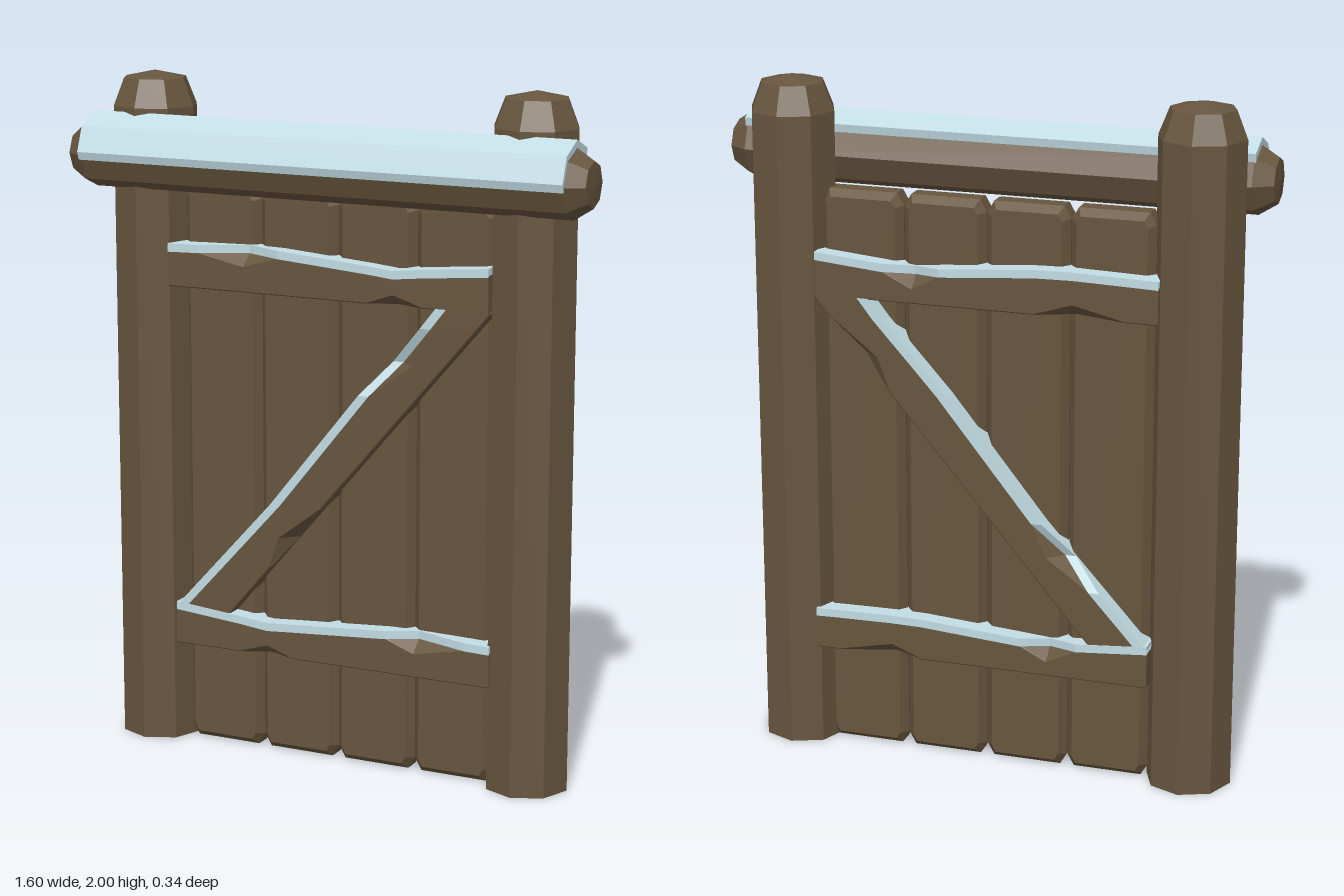
import * as THREE from 'three';

const wood = new THREE.MeshStandardMaterial({ color: 0x67553e });
wood.name = 'wood';
const snow = new THREE.MeshStandardMaterial({ color: 0xc2dce4 });
snow.name = 'snow';

const MID_Z = -0.045;

// Mesh with hard facets
function faceted(name, geometry, material) {
  const g = geometry.index ? geometry.toNonIndexed() : geometry;
  g.computeVertexNormals();
  const mesh = new THREE.Mesh(g, material);
  mesh.name = name;
  return mesh;
}

// Closed solid through equal-length cross-sections
function loft(sections) {
  const n = sections[0].length;
  const pos = sections.flat(2);
  const idx = [];
  for (let i = 0; i < sections.length - 1; i++) {
    for (let j = 0; j < n; j++) {
      const a = i * n + j, b = i * n + (j + 1) % n;
      idx.push(a, b, b + n, a, b + n, a + n);
    }
  }
  const last = (sections.length - 1) * n;
  for (let j = 1; j < n - 1; j++) {
    idx.push(0, j + 1, j, last, last + j, last + j + 1);
  }
  const g = new THREE.BufferGeometry();
  g.setAttribute('position', new THREE.Float32BufferAttribute(pos, 3));
  g.setIndex(idx);
  return g;
}

function lathe(points) {
  return new THREE.LatheGeometry(points.map(([r, y]) => new THREE.Vector2(r, y)), 8);
}

// Chipped board with a snow strip on its upper edge.
// Station: [u, top, chip frontTop, frontBottom, backTop, backBottom]
function brace(name, stations, map) {
  const zf = MID_Z + 0.1, zb = MID_Z - 0.1;
  const cz = c => 0.003 + 0.045 * c, cv = c => 0.003 + 0.035 * c;
  const at = (u, v, z) => [...map(u, v), z];
  const group = new THREE.Group();
  group.name = name;
  group.add(faceted('board', loft(stations.map(([u, t, ft, fb, bt, bb]) => [
    at(u, t, zb + cz(bt)), at(u, t, zf - cz(ft)),
    at(u, t - cv(ft), zf), at(u, cv(fb), zf),
    at(u, 0, zf - cz(fb)), at(u, 0, zb + cz(bb)),
    at(u, cv(bb), zb), at(u, t - cv(bt), zb),
  ])), wood));
  group.add(faceted('boardSnow', loft(stations.map(([u, t, ft, , bt]) => {
    const f = zf - 0.045 * ft + 0.002, b = zb + 0.045 * bt - 0.002;
    return [at(u, t + 0.02, b), at(u, t + 0.02, f), at(u, t - 0.004, f), at(u, t - 0.004, b)];
  })), snow));
  return group;
}

export function createModel() {
  const model = new THREE.Group();
  model.name = 'gate';

  // Posts with rounded tops
  for (const [name, x] of [['rightPost', -0.605], ['leftPost', 0.585]]) {
    const post = faceted(name, lathe([
      [0, 0], [0.125, 0], [0.125, 1.9], [0.093, 1.98], [0, 2],
    ]), wood);
    post.position.set(x, 0, MID_Z);
    model.add(post);
  }

  // Cross log along the front of the posts
  const log = faceted('crossLog', lathe([
    [0, -0.8], [0.065, -0.795], [0.1, -0.74], [0.1, 0.74], [0.065, 0.795], [0, 0.8],
  ]), wood);
  log.rotation.z = -Math.PI / 2;
  log.position.set(0, 1.768, 0.063);
  model.add(log);

  // Snow shell on the log, as [z, y] from back to front and under
  const shell = [
    [-0.015, 1.856], [0.063, 1.887], [0.139, 1.851], [0.168, 1.778],
    [0.161, 1.755], [0.15, 1.768], [0.12, 1.82], [0.063, 1.85], [-0.01, 1.83],
  ];
  model.add(faceted('logSnow', loft([-0.745, 0.745].map(x => shell.map(([z, y]) => [x, y, z]))), snow));

  // Planks with bevelled edges and cut corners
  const w = 0.1215, h = 1.685, cx = 0.02, cy = 0.035;
  const outline = new THREE.Shape([
    [-w + cx, 0], [w - cx, 0], [w, cy], [w, h - cy],
    [w - cx, h], [-w + cx, h], [-w, h - cy], [-w, cy],
  ].map(([x, y]) => new THREE.Vector2(x, y)));
  for (let i = 0; i < 4; i++) {
    const plank = faceted('plank' + (i + 1), new THREE.ExtrudeGeometry(outline, {
      depth: 0.05, bevelEnabled: true, bevelSegments: 1,
      bevelSize: 0.02, bevelThickness: 0.025, bevelOffset: -0.02,
    }), wood);
    plank.position.set(-0.3675 + i * 0.245, 0, MID_Z - 0.025);
    model.add(plank);
  }

  // Horizontal braces
  model.add(brace('upperBrace', [
    [-0.515, 0.105, 0, 0, 0, 0], [-0.42, 0.108, 0, 0, 0, 0], [-0.27, 0.112, 1, 0, 0, 1],
    [-0.16, 0.11, 0, 0, 0, 0], [0.12, 0.088, 0, 0, 0, 0], [0.2, 0.08, 0, 0.8, 1, 0],
    [0.29, 0.09, 0, 0, 0, 0], [0.49, 0.108, 0, 0, 0, 0],
  ], (u, v) => [u, v + 1.387]));
  model.add(brace('lowerBrace', [
    [-0.5, 0.108, 0, 0, 0, 0], [-0.29, 0.09, 0, 0, 0, 0], [-0.2, 0.08, 0, 0.8, 1, 0],
    [-0.12, 0.086, 0, 0, 0, 0], [0.18, 0.107, 0, 0, 0, 0], [0.27, 0.108, 1, 0, 0, 1],
    [0.43, 0.105, 0, 0, 0, 0], [0.505, 0.103, 0, 0, 0, 0],
  ], (u, v) => [u, v + 0.307]));

  // Diagonal brace, its ends cut level against the horizontal ones
  model.add(brace('diagonalBrace', [
    [0.42, 0.115, 0, 0, 0, 0], [0.58, 0.108, 0, 0, 0, 0], [0.67, 0.104, 0, 1, 1, 0],
    [0.77, 0.1, 0, 0, 0, 0], [1.12, 0.112, 0, 0, 0, 0], [1.22, 0.108, 1, 0, 0, 1],
    [1.33, 0.103, 0, 0, 0, 0], [1.39, 0.106, 0, 0, 0, 0],
  ], (u, v) => [-0.31 + (u - 0.435) * 0.847 - v * 1.33, u]));

  return model;
}
